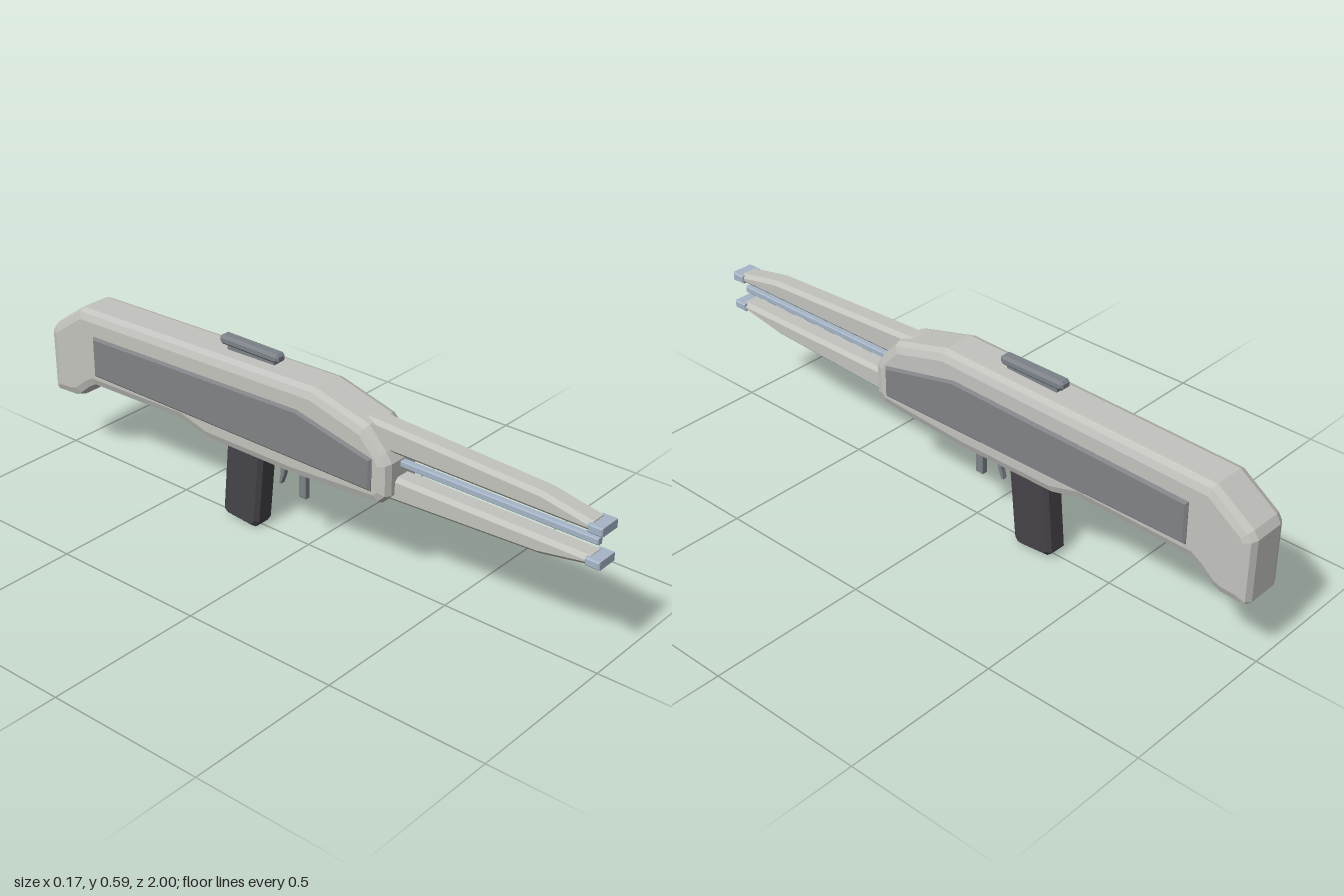
import * as THREE from 'three';

const mat = (name, color) => {
  const m = new THREE.MeshStandardMaterial({ color });
  m.name = name;
  return m;
};

// Side outline of [z, y] points, extruded across x to the given width with chamfered edges
function slab(points, width, inset = 0.01, chamfer = inset, segments = 1) {
  const shape = new THREE.Shape(points.map(([z, y]) => new THREE.Vector2(z, y)));
  const depth = width - 2 * chamfer;
  const geo = new THREE.ExtrudeGeometry(shape, {
    depth, bevelEnabled: true, bevelSize: inset, bevelOffset: -inset,
    bevelThickness: chamfer, bevelSegments: segments, curveSegments: 4,
  });
  geo.translate(0, 0, -depth / 2);
  geo.rotateY(-Math.PI / 2);
  return geo;
}

const rect = (z0, z1, y0, y1, c = 0) => c
  ? [[z0 + c, y0], [z1 - c, y0], [z1, y0 + c], [z1, y1 - c], [z1 - c, y1], [z0 + c, y1], [z0, y1 - c], [z0, y0 + c]]
  : [[z0, y0], [z1, y0], [z1, y1], [z0, y1]];

export function createModel() {
  const root = new THREE.Group();
  root.name = 'rifle';

  const shell = mat('pale grey shell', 0xc3c3be);
  const panelGrey = mat('dark grey panel', 0x808285);
  const gripBlack = mat('charcoal grip', 0x454348);
  const steel = mat('blue steel', 0xa6b5c8);
  const metal = mat('gunmetal', 0x7c8288);

  const add = (name, geo, material) => {
    const mesh = new THREE.Mesh(geo, material);
    mesh.name = name;
    root.add(mesh);
    return mesh;
  };

  // Main body and drooping stock in one outline
  add('body', slab([
    [0.34, 0.41], [0.34, 0.31], [0.31, 0.28], [0, 0.26], [-0.34, 0.26], [-0.44, 0.288],
    [-0.81, 0.28], [-0.835, 0.265], [-0.88, 0.228], [-0.91, 0.217], [-0.985, 0.213], [-0.998, 0.225],
    [-1, 0.42], [-0.985, 0.445], [-0.865, 0.53], [0.07, 0.555], [0.26, 0.505], [0.32, 0.44],
  ].reverse(), 0.15, 0.03, 0.027, 2), shell);

  // Raised side panels
  for (const side of [1, -1]) {
    const panel = add(side > 0 ? 'leftPanel' : 'rightPanel', slab([
      [0.29, 0.32], [0.29, 0.42], [0.02, 0.48], [-0.8, 0.457], [-0.8, 0.325],
    ], 0.04, 0.007), panelGrey);
    panel.position.x = side * 0.064;
  }

  // Upper and lower barrel prongs with steel tips
  add('upperProng', slab([
    [0.2, 0.43], [0.965, 0.43], [0.965, 0.46], [0.81, 0.49], [0.26, 0.514], [0.2, 0.514],
  ], 0.068, 0.012), shell);
  add('lowerProng', slab([
    [0.2, 0.283], [0.32, 0.283], [0.81, 0.305], [0.965, 0.332], [0.965, 0.36], [0.2, 0.36],
  ], 0.068, 0.012), shell);
  add('upperTip', slab(rect(0.955, 1, 0.431, 0.457), 0.076, 0.004), steel);
  add('lowerTip', slab(rect(0.955, 1, 0.333, 0.358), 0.076, 0.004), steel);

  // Thin rod between the prongs
  add('centreRod', slab(rect(0.25, 0.975, 0.386, 0.406), 0.022, 0.003), steel);

  // Sight rail on top
  add('sightRail', slab(rect(-0.325, -0.1, 0.559, 0.588, 0.008), 0.04, 0.008), metal);
  add('railMount', new THREE.BoxGeometry(0.02, 0.03, 0.18).translate(0, 0.555, -0.21), metal);

  // Pistol grip
  add('grip', slab([
    [-0.148, 0.27], [-0.172, 0.022], [-0.185, 0.002], [-0.2, 0], [-0.295, 0.008],
    [-0.312, 0.022], [-0.29, 0.27],
  ], 0.076, 0.012), gripBlack);

  // Open trigger guard and curved trigger
  add('triggerGuard', slab([
    [-0.003, 0.265], [-0.003, 0.155], [-0.03, 0.155], [-0.03, 0.235], [-0.16, 0.235], [-0.16, 0.265],
  ], 0.022, 0.003), metal);
  add('trigger', slab([
    [-0.083, 0.24], [-0.087, 0.205], [-0.1, 0.172], [-0.108, 0.172], [-0.101, 0.205], [-0.103, 0.24],
  ], 0.018, 0.002), metal);

  return root;
}
